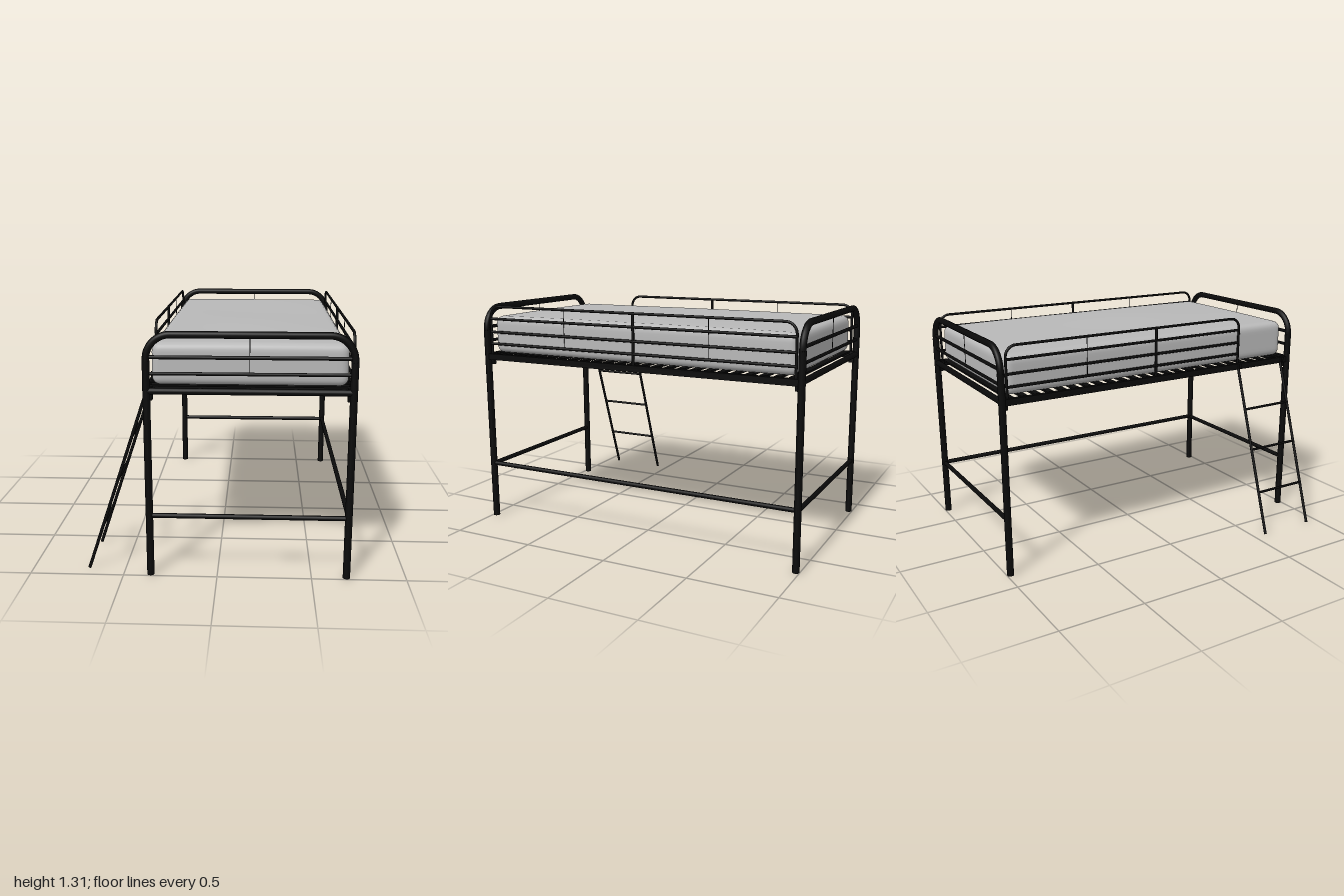
import * as THREE from 'three';
import { mergeVertices } from 'three/addons/utils/BufferGeometryUtils.js';

const V = (x, y, z) => new THREE.Vector3(x, y, z);

export function createModel() {
  const black = new THREE.MeshStandardMaterial({ color: 0x0a0a0a });
  black.name = 'black metal';
  const grey = new THREE.MeshStandardMaterial({ color: 0xb8b8b8 });
  grey.name = 'grey fabric';

  const XL = -0.355, XR = 0.685, ZE = 0.98, MID = (XL + XR) / 2;
  const bed = new THREE.Group();
  bed.name = 'loftBed';

  const section = (name) => {
    const g = new THREE.Group();
    g.name = name;
    bed.add(g);
    return g;
  };
  const add = (parent, name, geometry, material = black) => {
    const m = new THREE.Mesh(geometry, material);
    m.name = name;
    parent.add(m);
    return m;
  };
  // straight round bar between two points
  const bar = (parent, name, a, b, r, sides = 16) => {
    const d = b.clone().sub(a);
    const m = add(parent, name, new THREE.CylinderGeometry(r, r, d.length(), sides));
    m.position.copy(a).lerp(b, 0.5);
    m.quaternion.setFromUnitVectors(V(0, 1, 0), d.normalize());
    return m;
  };
  const box = (parent, name, w, h, d, x, y, z) => {
    add(parent, name, new THREE.BoxGeometry(w, h, d)).position.set(x, y, z);
  };
  // upside-down U of tube from foot a to foot b, with rounded corners
  const hoop = (parent, name, a, b, top, bend, r) => {
    const dir = b.clone().sub(a).normalize();
    const k = bend * 0.448;
    const up = (p, y) => V(p.x, y, p.z);
    const inn = (p, s, y) => up(p, y).addScaledVector(dir, s);
    const path = new THREE.CurvePath();
    path.add(new THREE.LineCurve3(a, up(a, top - bend)));
    path.add(new THREE.CubicBezierCurve3(up(a, top - bend), up(a, top - k), inn(a, k, top), inn(a, bend, top)));
    path.add(new THREE.LineCurve3(inn(a, bend, top), inn(b, -bend, top)));
    path.add(new THREE.CubicBezierCurve3(inn(b, -bend, top), inn(b, -k, top), up(b, top - k), up(b, top - bend)));
    path.add(new THREE.LineCurve3(up(b, top - bend), b));
    add(parent, name, new THREE.TubeGeometry(path, 160, r, 12));
  };

  // end frames: posts, arch and cross rails
  for (const s of [1, -1]) {
    const z = s * ZE;
    const end = section(s > 0 ? 'frontEnd' : 'backEnd');
    for (const x of [XL, XR]) {
      bar(end, 'post', V(x, 0, z), V(x, 1.16, z), 0.0195);
      box(end, 'railBracket', 0.024, 0.07, 0.03, x + (x < 0 ? 0.016 : -0.016), 0.99, z - s * 0.02);
    }
    hoop(end, 'arch', V(XL, 1.1, z), V(XR, 1.1, z), 1.292, 0.125, 0.0185);
    for (const [y, r] of [[0.335, 0.013], [1.005, 0.017], [1.095, 0.009], [1.178, 0.01]])
      bar(end, 'crossRail', V(XL, y, z), V(XR, y, z), r);
    bar(end, 'thinUpright', V(MID, 1.095, z), V(MID, 1.29, z), 0.002, 6);
  }

  // long side rails and the lower brace
  const frame = section('sideFrame');
  for (const x of [XL, XR]) box(frame, 'sideRail', 0.026, 0.036, 2 * ZE, x, 1.002, 0);
  bar(frame, 'lowerBrace', V(XR, 0.338, ZE), V(XR, 0.338, -ZE), 0.013);

  // slats across the bed
  const slats = section('slats');
  const count = 25;
  for (let i = 0; i < count; i++)
    box(slats, 'slat', XR - XL, 0.01, 0.038, MID, 1.019, -0.93 + (1.86 * i) / (count - 1));

  // guard rails; the ladder side stops short for the entry gap
  const guard = (name, x, z0, thin) => {
    const g = section(name);
    const z1 = -0.948;
    hoop(g, 'guardHoop', V(x, 1.0, z0), V(x, 1.0, z1), 1.301, 0.06, 0.0075);
    for (const y of [1.08, 1.15, 1.228])
      bar(g, 'guardBar', V(x, y, z0), V(x, y, z1), 0.008, 12);
    bar(g, 'guardUpright', V(x, 1.0, -0.02), V(x, 1.3, -0.02), 0.008, 12);
    for (const z of thin) bar(g, 'thinUpright', V(x, 1.08, z), V(x, 1.3, z), 0.002, 6);
  };
  guard('leftGuard', XR - 0.003, 0.948, [0.43, -0.47]);
  guard('rightGuard', XL + 0.003, 0.58, [-0.47]);

  // leaning ladder with hooks over the side rail
  const ladder = section('ladder');
  const foot = -0.697, head = -0.36;
  for (const z of [0.58, 0.92]) {
    bar(ladder, 'ladderRail', V(foot, 0.002, z), V(head, 1.0, z), 0.0085, 12);
    box(ladder, 'ladderHook', 0.04, 0.03, 0.014, -0.364, 1.007, z);
  }
  for (const y of [0.25, 0.505, 0.745]) {
    const x = foot + (head - foot) * y;
    bar(ladder, 'rung', V(x, y, 0.58), V(x, y, 0.92), 0.0075, 12);
  }

  // mattress: box with rounded edges and a softly uneven top
  const half = V(0.498, 0.108, 0.943), r = 0.042;
  let geo = new THREE.BoxGeometry(2, 2, 2, 40, 16, 60);
  geo.deleteAttribute('uv');
  geo.deleteAttribute('normal');
  geo = mergeVertices(geo);
  const pos = geo.attributes.position;
  const inner = half.clone().subScalar(r);
  const p = V(0, 0, 0), c = V(0, 0, 0);
  for (let i = 0; i < pos.count; i++) {
    p.fromBufferAttribute(pos, i);
    for (const a of ['x', 'y', 'z']) p[a] = half[a] * Math.sin((p[a] * Math.PI) / 2);
    c.copy(p).clamp(inner.clone().negate(), inner);
    p.sub(c).normalize().multiplyScalar(r).add(c);
    if (p.y > 0) {
      const edge = Math.cos((p.x / half.x) * 1.5) * Math.cos((p.z / half.z) * 1.5);
      const wave = 0.006 * Math.sin(p.x * 5 + p.z * 2) + 0.004 * Math.sin(p.z * 5 - p.x * 3);
      p.y += (p.y / half.y) * (0.01 * Math.sqrt(Math.max(edge, 0)) + wave * edge);
    }
    pos.setXYZ(i, p.x, p.y, p.z);
  }
  geo.computeVertexNormals();
  add(bed, 'mattress', geo, grey).position.set(MID, 1.133, 0);

  return bed;
}
